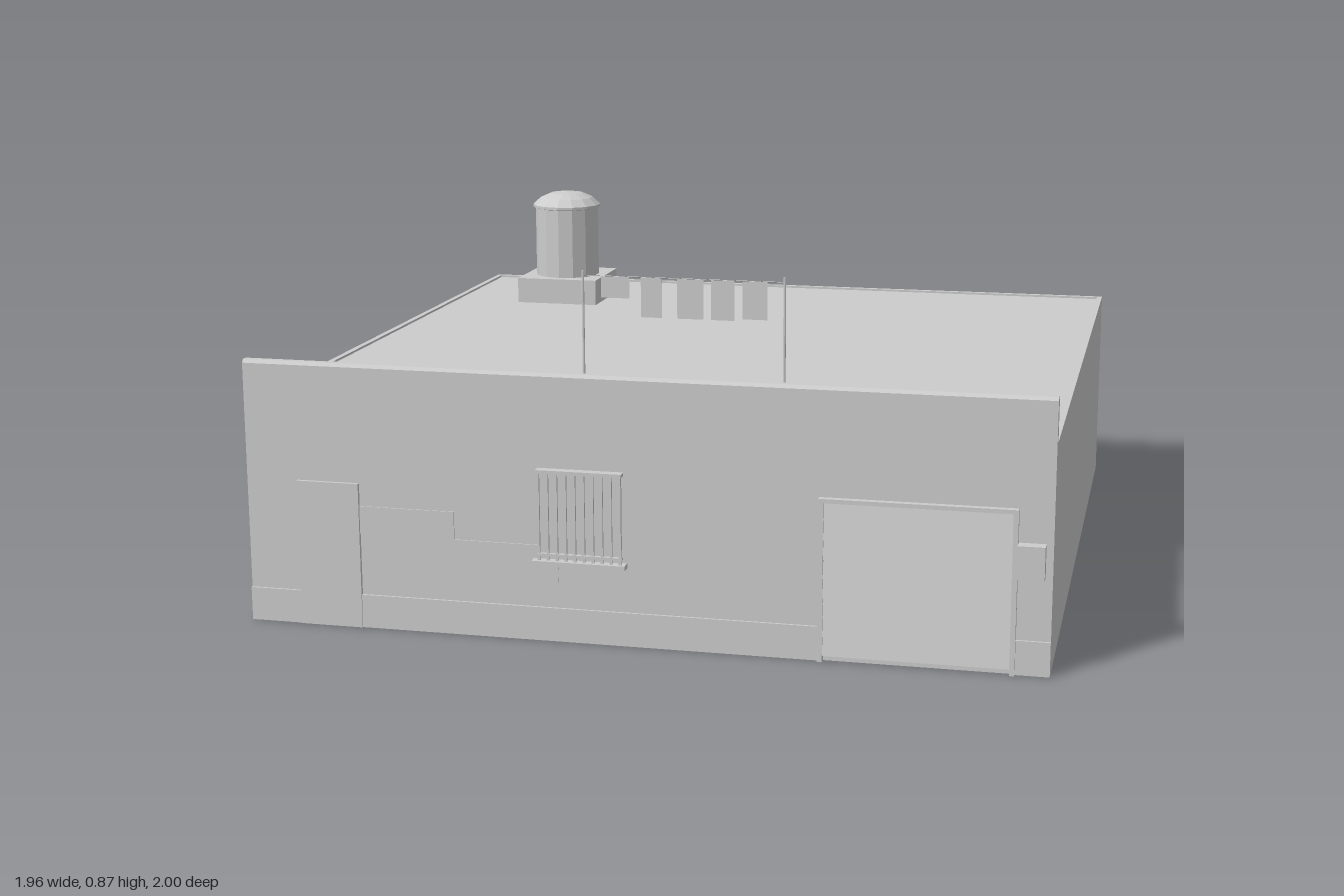
import * as THREE from 'three';

export function createModel() {
  const root = new THREE.Group();
  root.name = 'flatRoofHouse';
  const plaster = new THREE.MeshStandardMaterial({ color: 0xcccccc, flatShading: true, side: THREE.DoubleSide });
  plaster.name = 'plain grey';
  const FRONT = 0.97;

  const add = (name, geometry, parent = root) => {
    const mesh = new THREE.Mesh(geometry, plaster);
    mesh.name = name;
    parent.add(mesh);
    return mesh;
  };
  // Box given by its two corners
  const box = (name, x0, x1, y0, y1, z0, z1, parent) => {
    const mesh = add(name, new THREE.BoxGeometry(x1 - x0, y1 - y0, z1 - z0), parent);
    mesh.position.set((x0 + x1) / 2, (y0 + y1) / 2, (z0 + z1) / 2);
    return mesh;
  };
  const group = (name) => {
    const g = new THREE.Group();
    g.name = name;
    root.add(g);
    return g;
  };
  const shapeOf = (points) => new THREE.Shape(points.map(([x, y]) => new THREE.Vector2(x, y)));

  // Main block, low roof rim and front parapet with a softened top
  box('walls', -0.98, 0.98, 0, 0.54, -1, FRONT);
  const rim = group('roofRim');
  for (const s of [-1, 1]) box('sideRim', s * 0.9725 - 0.0075, s * 0.9725 + 0.0075, 0.54, 0.546, -1, 0.94, rim);
  box('backRim', -0.965, 0.965, 0.54, 0.546, -1, -0.985, rim);
  const section = shapeOf([[-0.97, 0.54], [-0.94, 0.54], [-0.94, 0.648], [-0.947, 0.656], [-0.963, 0.656], [-0.97, 0.648]]);
  const parapet = add('parapet', new THREE.ExtrudeGeometry(section, { depth: 1.96, bevelEnabled: false }));
  parapet.rotation.y = Math.PI / 2;
  parapet.position.x = -0.98;

  // Plinth, interrupted by the two doors
  const plinth = group('plinth');
  for (const [a, b] of [[-0.98, -0.85], [-0.69, 0.44], [0.9, 0.98]]) box('plinthStrip', a, b, 0, 0.083, FRONT, 0.976, plinth);
  box('frontDoor', -0.85, -0.69, 0, 0.363, FRONT, 0.979);

  // Stepped plaster patch running from the door to the window
  const patch = shapeOf([
    [-0.69, 0.235], [-0.52, 0.235], [-0.52, 0.146], [-0.19, 0.146], [-0.19, 0.188],
    [-0.03, 0.188], [-0.03, 0.237], [-0.45, 0.237], [-0.45, 0.306], [-0.69, 0.306],
  ]);
  add('wallPatch', new THREE.ExtrudeGeometry(patch, { depth: 0.003, bevelEnabled: false })).position.z = FRONT;

  // Barred window with sill
  const win = group('window');
  box('windowPane', -0.233, -0.033, 0.205, 0.425, FRONT, 0.974, win);
  box('upperRail', -0.238, -0.028, 0.418, 0.427, FRONT, 0.993, win);
  box('lowerRail', -0.238, -0.028, 0.216, 0.222, 0.98, 0.99, win);
  box('sill', -0.25, -0.02, 0.193, 0.205, FRONT, 0.998, win);
  for (let i = 0; i < 10; i++) {
    const x = -0.233 + i * 0.0222;
    box('bar', x - 0.003, x + 0.003, 0.205, 0.42, 0.983, 0.989, win);
  }

  // Roller door with sloping slats
  const garage = group('garageDoor');
  const slats = 8, y0 = 0.015, step = (0.39 - y0) / slats;
  const profile = [[-0.965, y0]];
  for (let i = 0; i < slats; i++) {
    profile.push([-0.985, y0 + i * step], [-0.977, y0 + (i + 1) * step]);
  }
  profile.push([-0.965, 0.39]);
  const shutter = add('shutter', new THREE.ExtrudeGeometry(shapeOf(profile.reverse()), { depth: 0.44, bevelEnabled: false }), garage);
  shutter.rotation.y = Math.PI / 2;
  shutter.position.x = 0.45;
  for (const x of [0.44, 0.888]) box('doorJamb', x, x + 0.012, 0, 0.395, FRONT, 0.986, garage);
  box('doorHead', 0.44, 0.9, 0.385, 0.395, FRONT, 0.986, garage);
  box('meterBox', 0.9, 0.963, 0.235, 0.315, FRONT, 1.0);

  // Washing line on the roof
  const line = group('washingLine');
  for (const x of [-0.264, 0.261]) {
    add('pole', new THREE.CylinderGeometry(0.0035, 0.0035, 0.28, 8), line).position.set(x, 0.68, 0.475);
  }
  const cord = add('cord', new THREE.CylinderGeometry(0.001, 0.001, 0.525, 5), line);
  cord.rotation.z = Math.PI / 2;
  cord.position.set(-0.0015, 0.808, 0.475);
  const cloths = [[-0.216, -0.141, 0.752], [-0.111, -0.056, 0.705], [-0.016, 0.052, 0.705], [0.072, 0.132, 0.705], [0.153, 0.217, 0.71]];
  for (const [a, b, low] of cloths) box('cloth', a, b, low, 0.807, 0.474, 0.476, line);

  // Water tank on its block
  const tank = group('waterTank');
  box('tankBase', -0.768, -0.522, 0.54, 0.615, -0.795, -0.549, tank);
  const outline = [[0, 0.615], [0.096, 0.615], [0.096, 0.822], [0.103, 0.824], [0.103, 0.832], [0.08, 0.853], [0.05, 0.866], [0, 0.873]];
  const body = add('tankBody', new THREE.LatheGeometry(outline.map(([r, y]) => new THREE.Vector2(r, y)), 14), tank);
  body.position.set(-0.645, 0, -0.672);

  return root;
}
